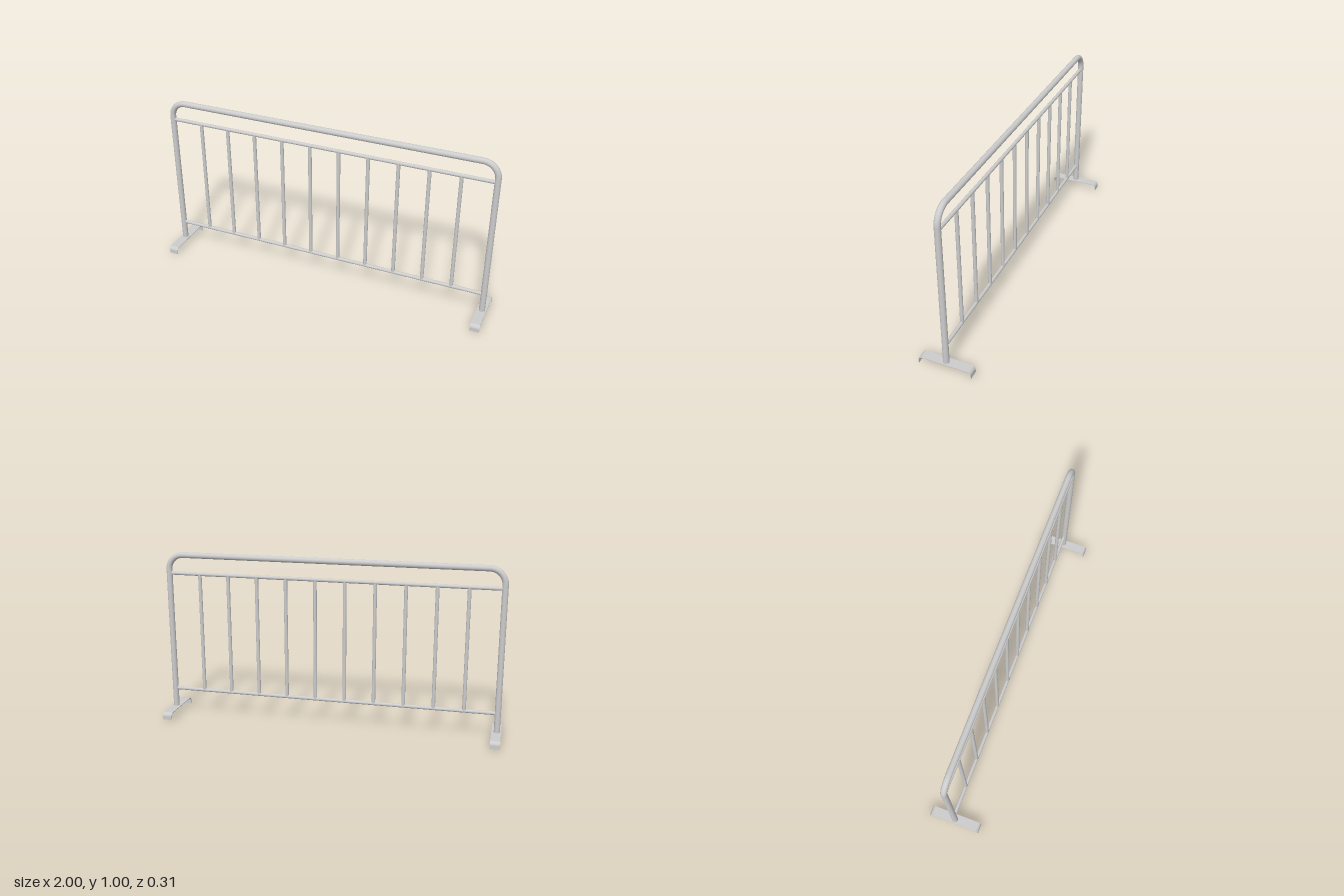
import * as THREE from 'three';

const material = new THREE.MeshStandardMaterial({ color: 0xcccccc, side: THREE.DoubleSide });

const POST_X = 0.975, TUBE_R = 0.0172, BEND_R = 0.088;
const TOP_Y = 1 - TUBE_R, FOOT_TOP = 0.042;
const RAIL_TOP = 0.873, RAIL_BOTTOM = 0.155, BAR_R = 0.0105;

function addMesh(parent, name, geometry, x = 0, y = 0, z = 0) {
  const mesh = new THREE.Mesh(geometry, material);
  mesh.name = name;
  mesh.position.set(x, y, z);
  parent.add(mesh);
  return mesh;
}

// Upright tube between two heights
function upright(parent, name, r, x, y0, y1) {
  return addMesh(parent, name, new THREE.CylinderGeometry(r, r, y1 - y0, 24), x, (y0 + y1) / 2);
}

// Level tube along x, centred on x = 0
function level(parent, name, r, halfLength, y) {
  const mesh = addMesh(parent, name, new THREE.CylinderGeometry(r, r, halfLength * 2, 24), 0, y);
  mesh.rotation.z = Math.PI / 2;
  return mesh;
}

// Bent flat strip: outer outline, then back along the inner one
function footGeometry(width) {
  const half = 0.153, t = 0.004, r = 0.022;
  const s = new THREE.Shape();
  s.moveTo(-half, 0);
  s.lineTo(-half, FOOT_TOP - r);
  s.absarc(-half + r, FOOT_TOP - r, r, Math.PI, Math.PI / 2, true);
  s.lineTo(half - r, FOOT_TOP);
  s.absarc(half - r, FOOT_TOP - r, r, Math.PI / 2, 0, true);
  s.lineTo(half, 0);
  s.lineTo(half - t, 0);
  s.lineTo(half - t, FOOT_TOP - r);
  s.absarc(half - r, FOOT_TOP - r, r - t, 0, Math.PI / 2, false);
  s.lineTo(-half + r, FOOT_TOP - t);
  s.absarc(-half + r, FOOT_TOP - r, r - t, Math.PI / 2, Math.PI, false);
  s.lineTo(-half + t, 0);
  s.closePath();
  const geometry = new THREE.ExtrudeGeometry(s, { depth: width, bevelEnabled: false, curveSegments: 8 });
  return geometry.translate(0, 0, -width / 2).rotateY(Math.PI / 2);
}

export function createModel() {
  const model = new THREE.Group();
  model.name = 'crowdBarrier';

  // Outer frame: top tube, rounded corners and posts
  const frame = new THREE.Group();
  frame.name = 'frame';
  model.add(frame);
  level(frame, 'topTube', TUBE_R, POST_X - BEND_R, TOP_Y);
  for (const [side, sx] of [['left', 1], ['right', -1]]) {
    upright(frame, side + 'Post', TUBE_R, sx * POST_X, FOOT_TOP - 0.002, TOP_Y - BEND_R);
    const bend = new THREE.TorusGeometry(BEND_R, TUBE_R, 24, 14, Math.PI / 2);
    if (sx < 0) bend.rotateZ(Math.PI / 2);
    addMesh(frame, side + 'Corner', bend, sx * (POST_X - BEND_R), TOP_Y - BEND_R);
    addMesh(model, side + 'Foot', footGeometry(0.056), sx * 0.972);
  }

  // Infill: two rails and ten vertical bars
  const infill = new THREE.Group();
  infill.name = 'infill';
  model.add(infill);
  level(infill, 'upperRail', BAR_R, POST_X - 0.01, RAIL_TOP);
  level(infill, 'lowerRail', BAR_R, POST_X - 0.01, RAIL_BOTTOM);
  for (let i = 0; i < 10; i++) {
    upright(infill, 'bar' + (i + 1), BAR_R, (i - 4.5) * 0.1744, RAIL_BOTTOM, RAIL_TOP);
  }
  return model;
}
